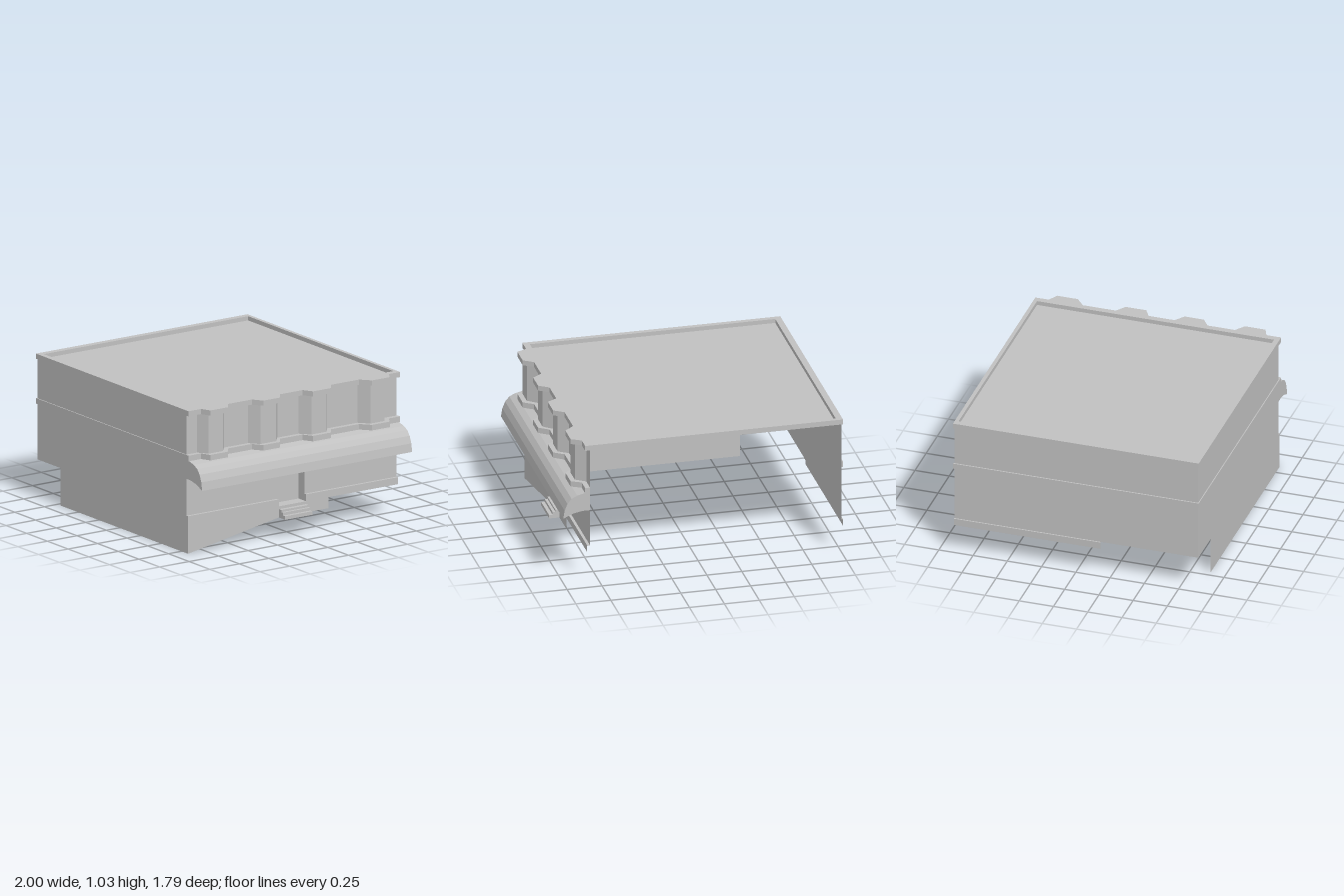
import * as THREE from 'three';

const stone = new THREE.MeshStandardMaterial({ color: 0xc0c0c0, side: THREE.DoubleSide });
stone.name = 'grey stone';

const toShape = (pts) => new THREE.Shape(pts.map(([a, b]) => new THREE.Vector2(a, b)));
const toHole = (pts) => new THREE.Path(pts.map(([a, b]) => new THREE.Vector2(a, b)));

// Bay outline as [x, z] from front to back; each bay lists its four corner depths.
function bayLine(bays, inner, outer, zFront, zBack) {
  const pts = [[inner, zFront]];
  for (const [a, b, c, d] of bays) pts.push([inner, a], [outer, b], [outer, c], [inner, d]);
  pts.push([inner, zBack]);
  return pts;
}

// Flat slab with an [x, z] outline between two heights.
function slab(outline, y0, y1, hole) {
  const flip = ([x, z]) => [x, -z];
  const shape = toShape(outline.map(flip));
  if (hole) shape.holes.push(toHole(hole.map(flip)));
  const g = new THREE.ExtrudeGeometry(shape, { depth: y1 - y0, bevelEnabled: false });
  return g.rotateX(-Math.PI / 2).translate(0, y0, 0);
}

// Prism with an [x, y] profile running along z.
function prism(profile, z0, z1) {
  const g = new THREE.ExtrudeGeometry(toShape(profile), { depth: z1 - z0, bevelEnabled: false });
  return g.translate(0, 0, z0);
}

// Thin wall with a [z, y] outline, facing +x (side 1) or -x (side -1).
function sideWall(outline, x, side, hole) {
  const map = ([z, y]) => [-side * z, y];
  const shape = toShape(outline.map(map));
  if (hole) shape.holes.push(toHole(hole.map(map)));
  return new THREE.ShapeGeometry(shape).rotateY((side * Math.PI) / 2).translate(x, 0, 0);
}

// Vertical folded wall following an [x, z] line.
function foldedWall(line, y0, y1) {
  const v = [];
  for (let i = 0; i < line.length - 1; i++) {
    const [ax, az] = line[i], [bx, bz] = line[i + 1];
    v.push(ax, y0, az, bx, y0, bz, bx, y1, bz, ax, y0, az, bx, y1, bz, ax, y1, az);
  }
  const g = new THREE.BufferGeometry();
  g.setAttribute('position', new THREE.Float32BufferAttribute(v, 3));
  g.computeVertexNormals();
  return g;
}

const rect = (a0, b0, a1, b1) => [[a0, b0], [a1, b0], [a1, b1], [a0, b1]];

export function createModel() {
  const model = new THREE.Group();
  model.name = 'building';
  const add = (name, geometry) => {
    const mesh = new THREE.Mesh(geometry, stone);
    mesh.name = name;
    model.add(mesh);
    return mesh;
  };
  const F = 0.89, B = -0.89, L = -0.99, R = 0.81;
  const ledge = 0.27, door = [0.12, -0.11];

  // Front wall, stepped up at one end and slightly wider at the plinth
  add('frontWall', new THREE.ShapeGeometry(toShape([
    [-0.71, 0], [0.83, 0], [0.83, ledge], [R, ledge], [R, 1], [L, 1], [L, ledge], [-0.71, ledge],
  ])).translate(0, 0, F));

  // Plain side wall with a shallow plinth towards the back
  add('plainSideWall', sideWall(rect(B, ledge, F, 1), L, -1));
  add('plainSidePlinth', sideWall(rect(B, 0.22, 0.18, ledge), L - 0.01, -1));
  add('plainSideLedge', slab(rect(L - 0.01, B, L, 0.18), ledge - 0.004, ledge));

  // Street wall below the bays, with a doorway
  add('streetWall', sideWall([
    [F, ledge], [door[0], ledge], [door[0], 0.44], [door[1], 0.44], [door[1], ledge],
    [B, ledge], [B, 0.69], [F, 0.69],
  ], R, 1));
  add('streetPlinth', sideWall([
    [F, 0], [door[0], 0.14], [-0.3, 0.14], [-0.3, 0.22], [B, 0.22], [B, ledge],
    [door[1], ledge], [door[1], 0.22], [door[0], 0.22], [door[0], ledge], [F, ledge],
  ], 0.83, 1));
  for (const [z0, z1] of [[B, door[1]], [door[0], F]]) {
    add('streetLedge', slab(rect(R, z0, 0.83, z1), ledge - 0.004, ledge));
  }

  // Recessed door with its reveals
  const inside = 0.74;
  add('door', sideWall(rect(door[1], 0.22, door[0], 0.44), inside, 1));
  for (const z of door) {
    add('doorJamb', new THREE.ShapeGeometry(toShape([
      [inside, 0.22], [0.83, 0.22], [0.83, ledge], [R, ledge], [R, 0.44], [inside, 0.44],
    ])).translate(0, 0, z));
  }
  add('doorHead', slab(rect(inside, door[1], R, door[0]), 0.438, 0.442));
  add('doorSill', slab(rect(inside, door[1], 0.83, door[0]), 0.216, 0.22));

  // Entrance steps
  add('entranceSteps', prism([
    [0.83, 0.14], [0.905, 0.14], [0.905, 0.165], [0.88, 0.165],
    [0.88, 0.185], [0.86, 0.185], [0.86, 0.2], [0.83, 0.2],
  ], door[1], door[0]));

  // Curved canopy along the street side
  add('canopy', prism([
    [R, 0.535], [0.86, 0.535], [0.93, 0.522], [1.0, 0.49], [0.99, 0.55], [0.97, 0.6],
    [0.94, 0.635], [0.9, 0.655], [0.84, 0.67], [R, 0.67],
  ], B, F));

  // Upper storey with four projecting bays
  const wallBays = [
    [0.80, 0.75, 0.63, 0.57], [0.37, 0.31, 0.18, 0.12],
    [-0.06, -0.12, -0.25, -0.30], [-0.56, -0.62, -0.74, -0.79],
  ];
  add('bayWall', foldedWall(bayLine(wallBays, R, 0.88, F, B), 0.69, 1));

  // Cornices following the bays
  const corniceBays = [
    [0.79, 0.76, 0.61, 0.56], [0.36, 0.31, 0.17, 0.12],
    [-0.07, -0.11, -0.26, -0.31], [-0.55, -0.61, -0.76, -0.80],
  ];
  const edge = bayLine(corniceBays, 0.845, 0.915, 0.897, -0.897);
  add('lowerCornice', slab([
    ...edge, [R, -0.897], [R, F], [L, F], [L, -0.897], [-1, -0.897], [-1, 0.897],
  ], 0.67, 0.71));
  add('roofParapet', slab([...edge, [-1, -0.897], [-1, 0.897]], 0.993, 1.03,
    rect(-0.955, -0.87, 0.8, 0.86)));

  // Sunken flat roof
  add('roof', slab(rect(L, B, R, F), 0.995, 1.0));

  return model;
}
